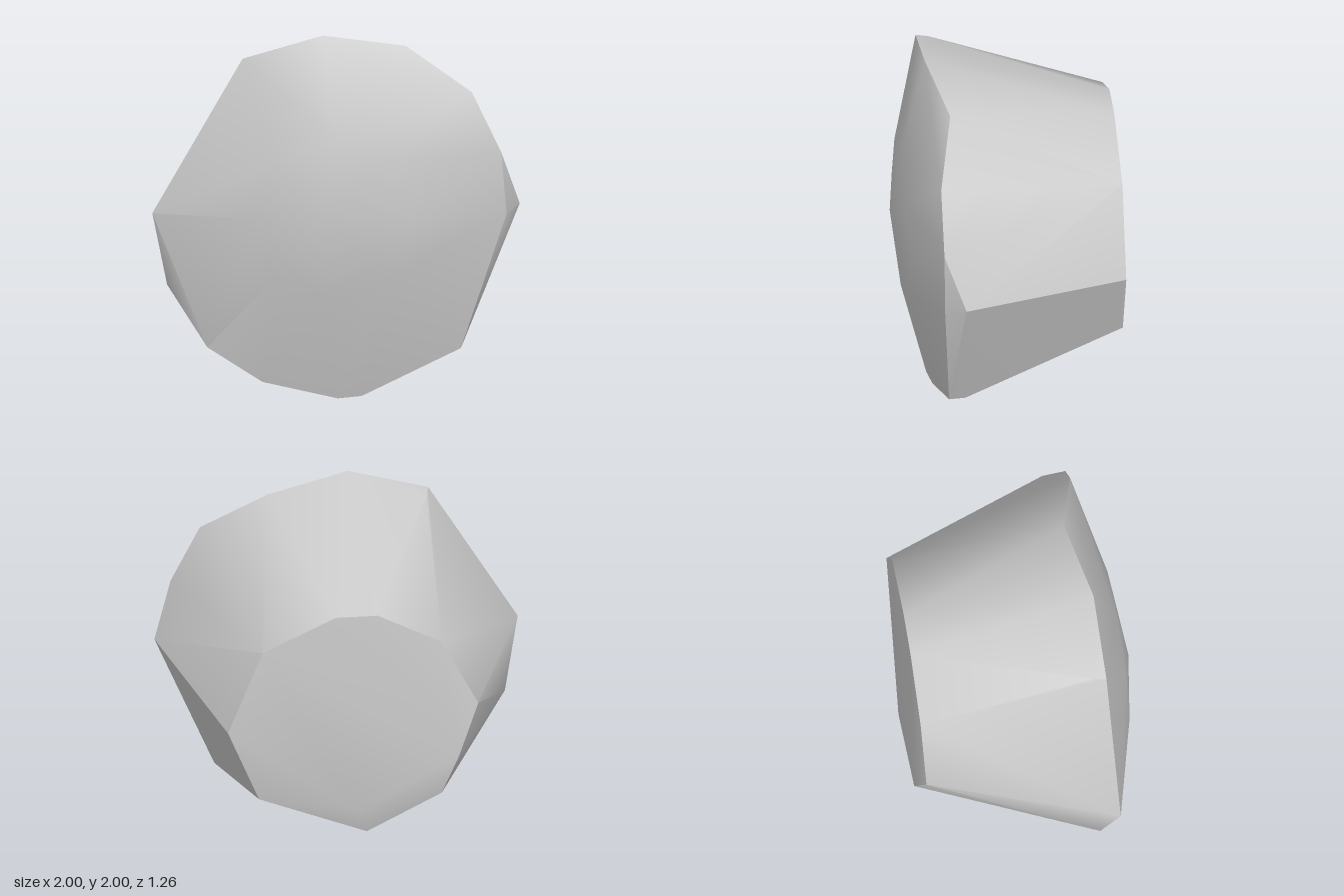
import * as THREE from 'three';
import { ConvexGeometry } from 'three/addons/geometries/ConvexGeometry.js';
import { toCreasedNormals } from 'three/addons/utils/BufferGeometryUtils.js';

export function createModel() {
  const group = new THREE.Group();
  group.name = 'boulder';
  const stone = new THREE.MeshStandardMaterial({ color: 0xcacaca });
  stone.name = 'light grey stone';

  // irregular wide rim near the front
  const rim = [
    [-0.07, 2, 0.44], [0.38, 1.93, 0.35], [0.74, 1.69, 0.44], [0.9, 1.36, 0.44],
    [0.93, 1.02, 0.44], [1, 1.06, 0.33], [0.68, 0.27, 0.39], [0.675, 0.27, 0.3],
    [0.14, 0.01, 0.42], [0.01, 0, 0.44], [-0.4, 0.09, 0.44], [-0.7, 0.28, 0.44],
    [-0.92, 0.61, 0.34], [-1, 1.02, 0.44], [-0.51, 1.87, 0.44], [-0.495, 1.865, 0.37],
  ];

  // narrower back face, slightly swollen at the lower right
  const back = [
    [0.69, 0.99, -0.58], [0.5, 1.49, -0.58], [0.1, 1.69, -0.58], [-0.13, 1.69, -0.58],
    [-0.48, 1.5, -0.58], [-0.68, 1.1, -0.58], [-0.57, 0.8, -0.63], [-0.03, 0.48, -0.63],
    [-0.48, 0.54, -0.58], [-0.07, 0.32, -0.58], [0.52, 0.56, -0.58],
  ];

  // shallow dome on the front
  const dome = [[-0.08, 1.02, 0.63]];
  for (let i = 0; i < 8; i++) {
    const a = (i * Math.PI) / 4;
    dome.push([-0.01 + 0.44 * Math.cos(a), 1.01 + 0.44 * Math.sin(a), 0.577]);
  }

  const points = [...rim, ...back, ...dome].map((p) => new THREE.Vector3(...p));
  const geometry = toCreasedNormals(new ConvexGeometry(points), THREE.MathUtils.degToRad(37));
  const rock = new THREE.Mesh(geometry, stone);
  rock.name = 'rock';
  group.add(rock);
  return group;
}
